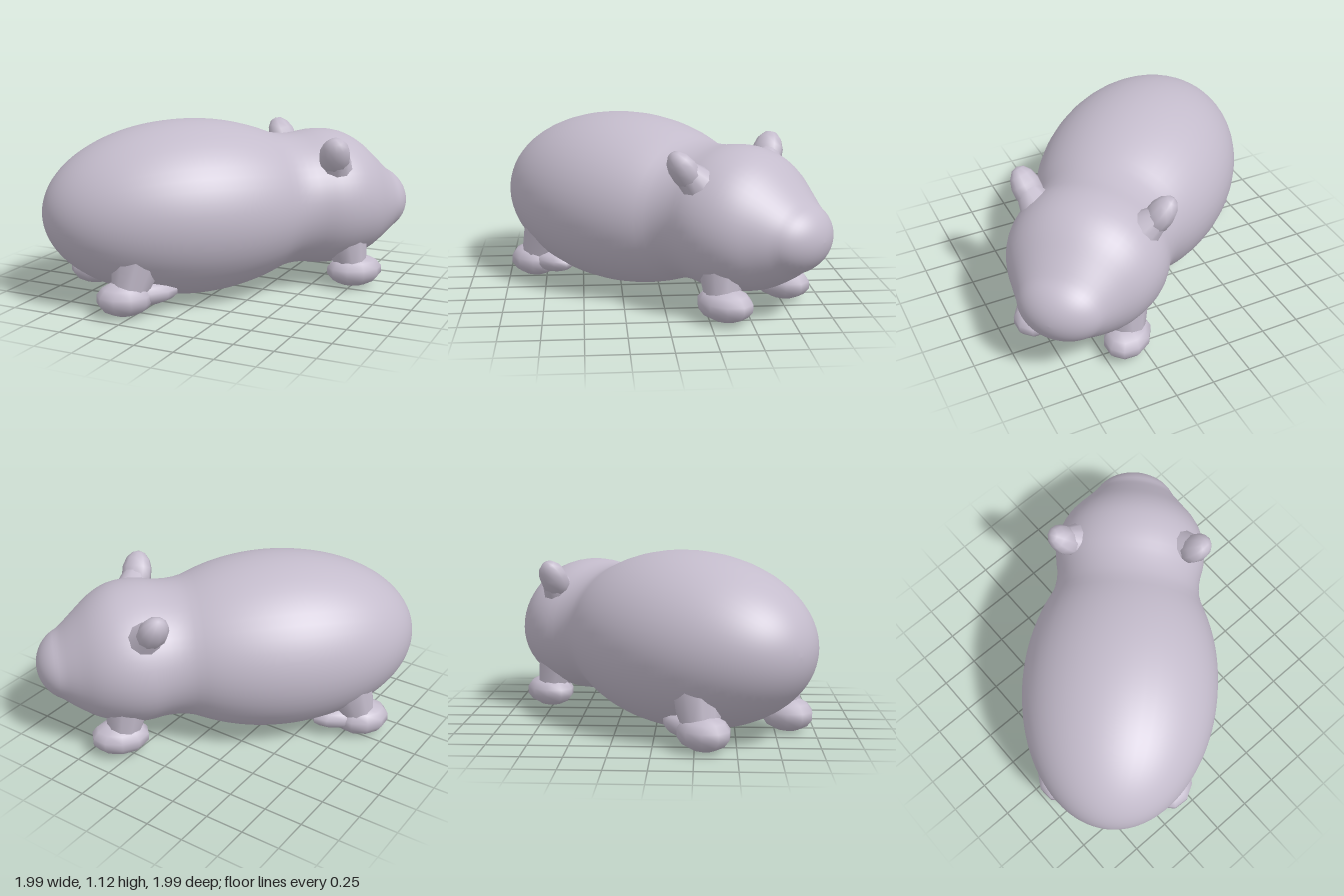
import * as THREE from 'three';

const fur = new THREE.MeshStandardMaterial({ color: 0xc4bccc });
fur.name = 'greyLilac';

// Half-width of an ellipse along its length; falls below zero beyond its ends
function arc(z, centre, half, radius) {
  const t = Math.abs(z - centre) / half;
  return t < 1 ? radius * Math.sqrt(1 - t * t) : (1 - t) * 5;
}

// Maximum with a rounded transition
function blend(a, b, k) {
  const h = Math.max(k - Math.abs(a - b), 0) / k;
  return Math.max(a, b) + h * h * k / 4;
}

// Torso, head and muzzle flow into each other as one loft along z
function bodyGeometry() {
  const rings = 72, sides = 48, z0 = -1.215, z1 = 1.27;
  const positions = [], index = [];
  const radius = (z, torso, head, muzzle) => Math.max(0.001, blend(
    blend(arc(z, -0.28, 0.935, torso), arc(z, 0.64, 0.5, head), 0.16),
    arc(z, 1.03, 0.24, muzzle), 0.12));
  for (let i = 0; i <= rings; i++) {
    const z = (z0 + z1) / 2 - (z1 - z0) / 2 * Math.cos(Math.PI * i / rings);
    const w = radius(z, 0.63, 0.5, 0.29);
    const h = radius(z, 0.56, 0.45, 0.23);
    const y = 0.57 - 0.05 * THREE.MathUtils.smoothstep(z, 0.75, 1.15);
    for (let j = 0; j < sides; j++) {
      const a = j / sides * Math.PI * 2;
      positions.push(w * Math.cos(a), y + h * Math.sin(a), z);
      if (i === rings) continue;
      const p = i * sides + j, q = i * sides + (j + 1) % sides;
      index.push(p, q, p + sides, q, q + sides, p + sides);
    }
  }
  const g = new THREE.BufferGeometry();
  g.setAttribute('position', new THREE.Float32BufferAttribute(positions, 3));
  g.setIndex(index);
  g.computeVertexNormals();
  return g;
}

// Coarse smooth ellipsoid
function blob(name, pos, size, tilt = [0, 0, 0], w = 10, h = 7) {
  const m = new THREE.Mesh(new THREE.SphereGeometry(1, w, h), fur);
  m.name = name;
  m.position.set(...pos);
  m.scale.set(...size);
  m.rotation.set(...tilt);
  return m;
}

// Tapered limb between two points
function limb(name, from, to, r0, r1) {
  const a = new THREE.Vector3(...from), d = new THREE.Vector3(...to).sub(a);
  const m = new THREE.Mesh(new THREE.CylinderGeometry(r1, r0, d.length(), 10), fur);
  m.name = name;
  m.position.copy(a).addScaledVector(d, 0.5);
  m.quaternion.setFromUnitVectors(new THREE.Vector3(0, 1, 0), d.normalize());
  return m;
}

export function createModel() {
  const model = new THREE.Group();
  model.name = 'rodent';
  const animal = new THREE.Group();
  animal.name = 'animal';
  animal.rotation.y = Math.PI * 0.75; // stands diagonally
  model.add(animal);

  const body = new THREE.Mesh(bodyGeometry(), fur);
  body.name = 'body';
  animal.add(body);

  for (const s of [-1, 1]) {
    const side = s < 0 ? 'left' : 'right';
    // Ears lean outward from the top of the head
    animal.add(blob(side + 'Ear', [s * 0.42, 0.91, 0.56], [0.085, 0.145, 0.1], [0, s * 0.35, -s * 0.6]));
    animal.add(limb(side + 'EarRoot', [s * 0.3, 0.78, 0.62], [s * 0.42, 0.91, 0.57], 0.14, 0.075));
    // Front legs
    animal.add(blob(side + 'FrontFoot', [s * 0.3, 0.115, 0.78], [0.145, 0.105, 0.19]));
    animal.add(limb(side + 'FrontLeg', [s * 0.3, 0.12, 0.76], [s * 0.26, 0.36, 0.72], 0.1, 0.15));
    // Hind legs: rounded foot tapering forward under the belly
    animal.add(blob(side + 'HindFoot', [s * 0.37, 0.115, -0.8], [0.15, 0.11, 0.18]));
    animal.add(blob(side + 'HindSole', [s * 0.36, 0.13, -0.66], [0.1, 0.075, 0.2]));
    animal.add(limb(side + 'HindLeg', [s * 0.37, 0.13, -0.78], [s * 0.33, 0.36, -0.7], 0.11, 0.17));
  }
  return model;
}
